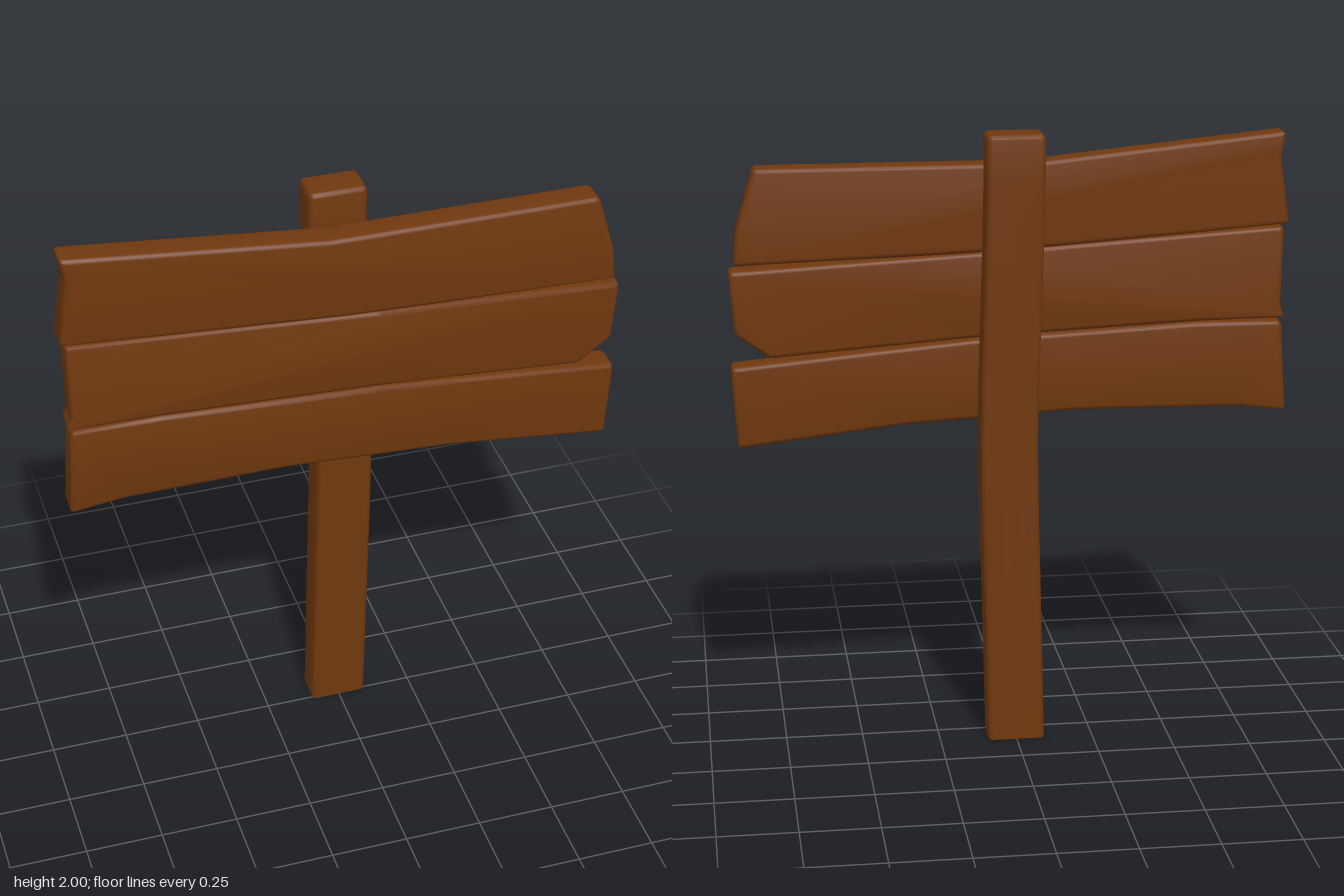
import * as THREE from 'three';
import { toCreasedNormals } from 'three/addons/utils/BufferGeometryUtils.js';

const wood = new THREE.MeshStandardMaterial({ color: 0x70380e, side: THREE.DoubleSide });

// Closed outline with slightly rounded corners
function roundedOutline(corners, radius) {
  const pts = corners.map(([x, y]) => new THREE.Vector2(x, y));
  const shape = new THREE.Shape();
  pts.forEach((p, i) => {
    const prev = pts[(i + pts.length - 1) % pts.length];
    const next = pts[(i + 1) % pts.length];
    const a = p.clone().add(prev.clone().sub(p).setLength(radius));
    const b = p.clone().add(next.clone().sub(p).setLength(radius));
    if (i === 0) shape.moveTo(a.x, a.y);
    else shape.lineTo(a.x, a.y);
    shape.quadraticCurveTo(p.x, p.y, b.x, b.y);
  });
  shape.closePath();
  return shape;
}

// Board cut from an outline, with softened edges
function plank(name, corners) {
  const bevel = 0.014, back = 0.01, front = 0.108;
  const geometry = new THREE.ExtrudeGeometry(roundedOutline(corners, 0.015), {
    depth: front - back - 2 * bevel, curveSegments: 3,
    bevelThickness: bevel, bevelSize: bevel, bevelOffset: -bevel, bevelSegments: 3,
  });
  geometry.translate(0, 0, back + bevel);
  const mesh = new THREE.Mesh(toCreasedNormals(geometry, 0.6), wood);
  mesh.name = name;
  return mesh;
}

// Slightly bowed post: rounded rectangular rings, open at the foot, closed on top
function post() {
  const halfX = 0.092, halfZ = 0.06, centreZ = -0.05, radius = 0.016, steps = 3;
  // [height, sideways shift, inset]
  const rings = [[0, 0, 0], [0.4, 0.009, 0], [0.8, 0.019, 0], [1, 0.022, 0], [1.2, 0.019, 0],
    [1.6, 0.006, 0], [1.85, 0, 0], [1.984, 0, 0], [1.992, 0, 0.002], [1.998, 0, 0.008], [2, 0, 0.015]];
  const positions = [], indices = [];
  const count = 4 * (steps + 1);
  for (const [y, shift, inset] of rings) {
    for (let c = 0; c < 4; c++) {
      const sx = c === 0 || c === 3 ? 1 : -1, sz = c < 2 ? 1 : -1;
      for (let s = 0; s <= steps; s++) {
        const angle = (c + s / steps) * Math.PI / 2, r = radius - inset;
        positions.push(shift + sx * (halfX - radius) + r * Math.cos(angle), y,
          centreZ + sz * (halfZ - radius) + r * Math.sin(angle));
      }
    }
  }
  for (let k = 0; k < rings.length - 1; k++) {
    for (let i = 0; i < count; i++) {
      const a = k * count + i, b = k * count + (i + 1) % count;
      indices.push(a, a + count, b, b, a + count, b + count);
    }
  }
  // Top cap
  const last = (rings.length - 1) * count;
  positions.push(0, 2, centreZ);
  for (let i = 0; i < count; i++) indices.push(last + count, last + (i + 1) % count, last + i);

  const geometry = new THREE.BufferGeometry();
  geometry.setAttribute('position', new THREE.Float32BufferAttribute(positions, 3));
  geometry.setIndex(indices);
  const mesh = new THREE.Mesh(toCreasedNormals(geometry, 0.6), wood);
  mesh.name = 'post';
  return mesh;
}

export function createModel() {
  const group = new THREE.Group();
  group.name = 'signpost';
  group.add(
    post(),
    plank('topPlank', [[-0.897, 1.675], [-0.5, 1.645], [0, 1.611], [0.3, 1.6], [0.88, 1.584],
      [0.87, 1.69], [0.81, 1.89], [-0.05, 1.889], [-0.88, 1.972], [-0.866, 1.89]]),
    plank('middlePlank', [[-0.892, 1.366], [-0.6, 1.362], [0.1, 1.332], [0.35, 1.314], [0.77, 1.283],
      [0.88, 1.36], [0.896, 1.566], [0.1, 1.607], [-0.88, 1.667], [-0.876, 1.4]]),
    plank('bottomPlank', [[-0.9, 1.054], [-0.73, 1.075], [-0.2, 1.08], [0.35, 1.05], [0.88, 0.99],
      [0.896, 1.256], [0.35, 1.305], [0.1, 1.326], [-0.6, 1.358], [-0.88, 1.356]]),
  );
  return group;
}
